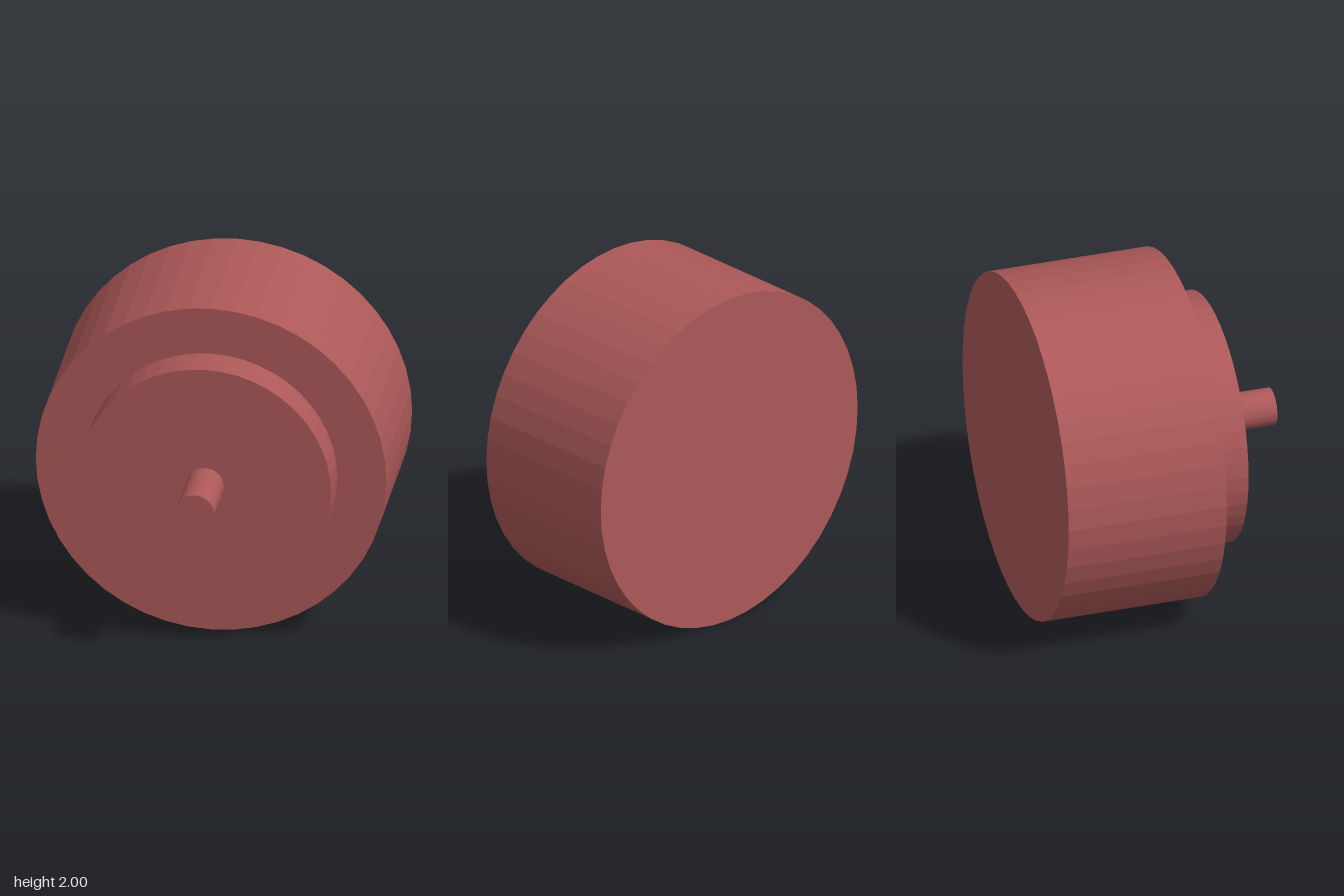
import * as THREE from 'three';

export function createModel() {
  const group = new THREE.Group();
  const red = new THREE.MeshStandardMaterial({ color: 0xac5858, flatShading: true });
  red.name = 'dusty red';

  // Cylinder lying along z, from z0 (back) to z1 (front)
  const addDisc = (name, radius, z0, z1, sides) => {
    const geometry = new THREE.CylinderGeometry(radius, radius, z1 - z0, sides);
    geometry.rotateX(Math.PI / 2);
    const mesh = new THREE.Mesh(geometry, red);
    mesh.name = name;
    mesh.position.set(0, 1, (z0 + z1) / 2);
    group.add(mesh);
  };

  addDisc('body', 1, -0.757, 0.178, 48);
  addDisc('frontStep', 0.72, 0.178, 0.394, 48);
  addDisc('shaft', 0.107, 0.394, 0.757, 48);

  return group;
}
